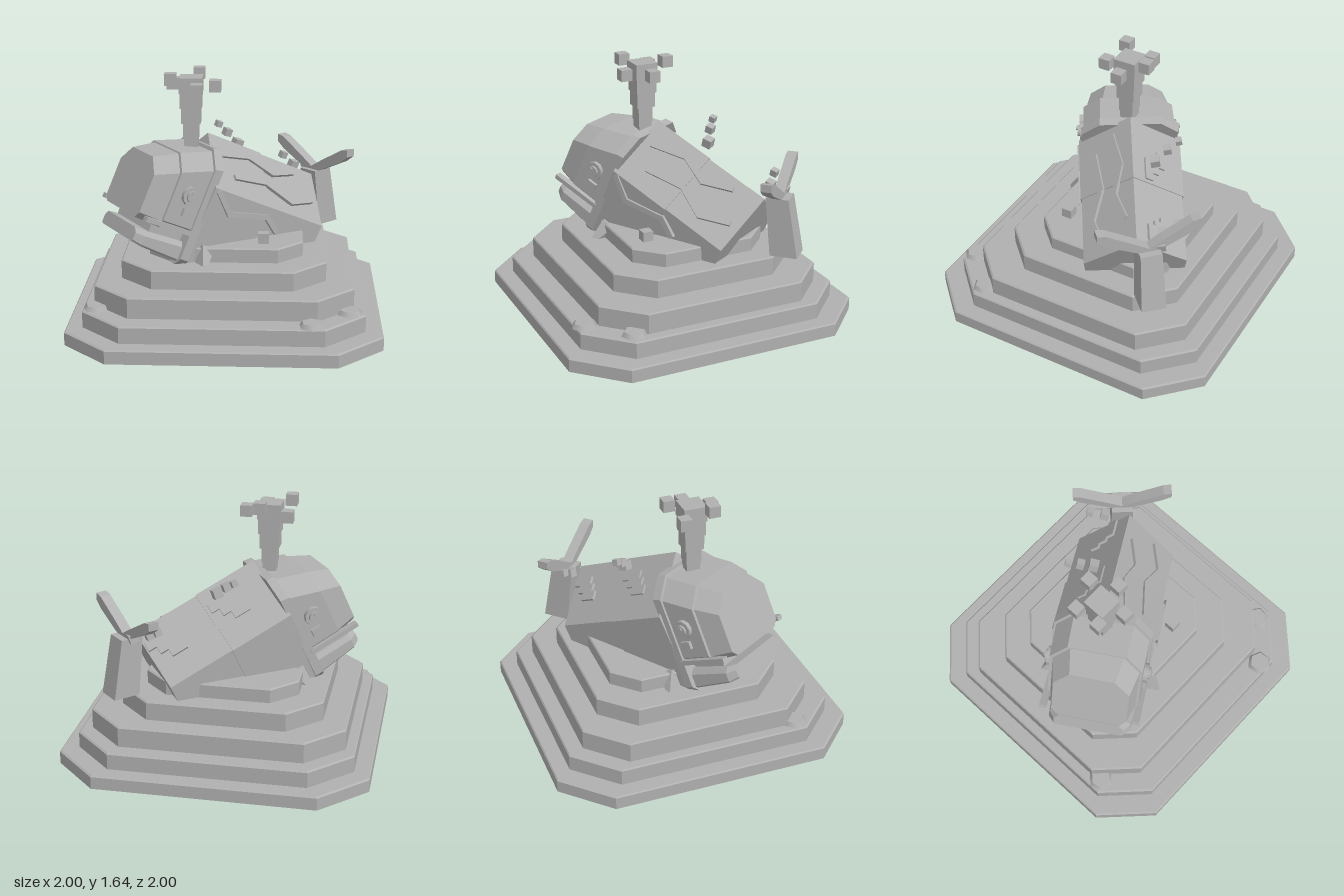
import * as THREE from 'three';
import { ConvexGeometry } from 'three/addons/geometries/ConvexGeometry.js';

const stone = new THREE.MeshStandardMaterial({ color: 0xb0b0b0 });
stone.name = 'grey stone';

const V = (x, y, z) => new THREE.Vector3(x, y, z);

function add(parent, name, geometry, x = 0, y = 0, z = 0) {
  const mesh = new THREE.Mesh(geometry, stone);
  mesh.name = name;
  mesh.position.set(x, y, z);
  parent.add(mesh);
  return mesh;
}
const box = (parent, name, w, h, d, x, y, z) => add(parent, name, new THREE.BoxGeometry(w, h, d), x, y, z);
const hull = (parent, name, points) => add(parent, name, new ConvexGeometry(points));

// Chamfered rectangle in the x/y plane at depth z
function section(cx, half, bottom, top, chamfer, z, lower = chamfer * 0.4) {
  const pts = [];
  for (const m of [-1, 1]) {
    pts.push(V(cx + m * half, top - chamfer, z), V(cx + m * (half - chamfer), top, z),
      V(cx + m * half, bottom + lower, z), V(cx + m * (half - lower), bottom, z));
  }
  return pts;
}

// One tier of the plinth: a rectangle with cut corners
function tier(parent, y0, y1, x0, x1, z0, z1, c) {
  const pts = [];
  const b = 0.008;
  for (const [y, e] of [[y0, 0], [y1 - b, 0], [y1, b]]) {
    for (const [x, sx] of [[x0 + e, 1], [x1 - e, -1]]) {
      for (const [z, sz] of [[z0 + e, 1], [z1 - e, -1]]) {
        pts.push(V(x + sx * c, y, z), V(x, y, z + sz * c));
      }
    }
  }
  hull(parent, 'plinthTier', pts);
}

// Thin bars joining points on a sloping face
function zigzag(parent, points, normal) {
  for (let i = 0; i + 1 < points.length; i++) {
    const a = points[i], b = points[i + 1];
    const along = b.clone().sub(a), len = along.length();
    along.normalize();
    const side = normal.clone().cross(along);
    const bar = add(parent, 'zigzagBar', new THREE.BoxGeometry(0.035, 0.035, len + 0.02));
    bar.quaternion.setFromRotationMatrix(new THREE.Matrix4().makeBasis(side, normal, along));
    bar.position.copy(a).add(b).multiplyScalar(0.5);
  }
}

export function createModel() {
  const model = new THREE.Group();
  model.name = 'whaleMonument';

  // Stepped plinth
  const plinth = new THREE.Group();
  plinth.name = 'plinth';
  model.add(plinth);
  tier(plinth, 0, 0.09, -1, 1, -1, 1, 0.29);
  tier(plinth, 0.09, 0.2, -0.895, 0.89, -0.895, 0.89, 0.26);
  tier(plinth, 0.2, 0.335, -0.83, 0.82, -0.79, 0.75, 0.235);
  tier(plinth, 0.335, 0.46, -0.67, 0.645, -0.65, 0.585, 0.21);
  tier(plinth, 0.46, 0.555, -0.5, 0.495, -0.52, 0.41, 0.16);

  // Loose flat stones on the steps
  for (const [x, z, turn] of [[-0.81, 0.58, 0.3], [0.79, 0.6, 0.9], [0.55, 0.83, 0.1]]) {
    const s = add(plinth, 'looseStone', new THREE.CylinderGeometry(0.065, 0.085, 0.03, 6), x, 0.213, z);
    s.rotation.y = turn;
  }
  box(plinth, 'smallBlock', 0.07, 0.07, 0.07, 0.24, 0.585, 0.27);

  // Whale frame: x across, y out of the back, z towards the snout
  const whale = new THREE.Group();
  whale.name = 'whale';
  const yaw = 32 * Math.PI / 180, pitch = 25 * Math.PI / 180;
  const cy = Math.cos(yaw), sy = Math.sin(yaw), cp = Math.cos(pitch), sp = Math.sin(pitch);
  whale.quaternion.setFromRotationMatrix(new THREE.Matrix4().makeBasis(
    V(sy, 0, cy), V(cy * sp, cp, -sy * sp), V(-cy * cp, sp, sy * cp)));
  model.add(whale);

  // Ridged body in two segments
  const cx = -0.06, ridge = 1.045, eave = 0.75, half = 0.33, tailZ = -0.277;
  function bodySegment(name, z0, z1, grow) {
    const pts = [];
    for (const z of [z0, z1]) {
      pts.push(V(cx, ridge + grow, z));
      for (const m of [-1, 1]) {
        pts.push(V(cx + m * (half + grow), eave, z), V(cx + m * (half + grow - 0.04), 0.22, z));
      }
    }
    hull(whale, name, pts);
  }
  bodySegment('rearBody', tailZ, 0.2, 0);
  bodySegment('frontBody', 0.18, 0.62, 0.008);

  // Raised zigzags on the left back slope and the left flank
  const slope = Math.hypot(half, ridge - eave);
  const ux = half / slope, uy = (ridge - eave) / slope;
  const onSlope = (m, a, t) => V(cx + m * ux * t, ridge - uy * t + 0.005, tailZ + a);
  const slopeNormal = V(uy, ux, 0);
  zigzag(whale, [[0.81, 0.155], [0.58, 0.09], [0.387, 0.157], [0.205, 0.08]].map(p => onSlope(1, ...p)), slopeNormal);
  zigzag(whale, [[0.72, 0.31], [0.464, 0.263], [0.257, 0.35], [0.075, 0.272]].map(p => onSlope(1, ...p)), slopeNormal);
  zigzag(whale, [[0.86, 0.02], [0.73, 0.13], [0.45, 0.067], [0.34, 0.137]]
    .map(([a, t]) => V(cx + half, eave - t, tailZ + a)), V(1, 0, 0));

  // Overlapping slabs on the right back slope
  for (const a of [0.13, 0.6]) {
    for (let i = 0; i < 3; i++) {
      const slab = add(whale, 'backSlab', new THREE.BoxGeometry(0.065, 0.03, 0.15 - 0.02 * i));
      slab.position.copy(onSlope(-1, a + (i - 1) * 0.045, 0.19 + (i - 1) * 0.055));
      slab.rotation.z = Math.atan2(uy, ux);
    }
  }

  // Head: collar, cheeks, snout, jaw and the recessed mouth
  hull(whale, 'collar', [...section(cx, 0.32, 0.2, 0.985, 0.12, 0.6), ...section(cx, 0.32, 0.2, 0.975, 0.12, 0.66)]);
  hull(whale, 'cheeks', [...section(cx, 0.305, 0.4, 0.96, 0.11, 0.64), ...section(cx, 0.3, 0.4, 0.875, 0.11, 0.87)]);
  hull(whale, 'snout', [...section(cx, 0.285, 0.39, 0.875, 0.11, 0.85), ...section(cx, 0.245, 0.4, 0.79, 0.1, 1.02)]);
  hull(whale, 'jaw', [...section(cx, 0.29, 0.22, 0.35, 0.03, 0.62), ...section(cx, 0.27, 0.24, 0.34, 0.03, 0.93),
    ...section(cx, 0.23, 0.25, 0.34, 0.03, 0.985)]);
  box(whale, 'mouthRecess', 0.46, 0.2, 0.28, cx, 0.36, 0.76);

  for (const m of [-1, 1]) {
    const side = cx + m * 0.305;
    // Lip bar
    box(whale, 'lipBar', 0.045, 0.03, 0.36, side, 0.42, 0.82);
    // Eye: rim, pupil and a short lid block below
    for (const [name, r, h] of [['eyeRim', 0.062, 0.05], ['eyePupil', 0.038, 0.08]]) {
      add(whale, name, new THREE.CylinderGeometry(r, r, h, 10), side, 0.645, 0.755).rotation.z = Math.PI / 2;
    }
    box(whale, 'eyeGlint', 0.1, 0.018, 0.018, side, 0.66, 0.765);
    box(whale, 'cheekBlock', 0.04, 0.05, 0.07, side, 0.535, 0.735);
    // Small flipper resting on the plinth
    hull(whale, 'flipper', [V(side - m * 0.04, 0.36, 0.44), V(side - m * 0.04, 0.36, 0.55), V(side + m * 0.03, 0.38, 0.46),
      V(side + m * 0.03, 0.38, 0.55), V(side + m * 0.1, 0.26, 0.5), V(side + m * 0.1, 0.26, 0.54),
      V(side, 0.22, 0.46), V(side, 0.22, 0.54)]);
  }

  // Tail: tapered stalk and two raised flukes
  const tail = new THREE.Group();
  tail.name = 'tail';
  tail.position.set(0.58, 0, -0.51);
  tail.rotation.y = -Math.PI / 4;
  model.add(tail);
  const stalk = [];
  for (const m of [-1, 1]) {
    for (const [y, w, z0, z1] of [[0.46, 0.08, -0.03, 0.15], [0.85, 0.07, -0.07, 0.08]]) {
      stalk.push(V(m * w, y, -z0), V(m * w, y, -z1));
    }
  }
  hull(tail, 'tailStalk', stalk);
  for (const m of [-1, 1]) {
    const fluke = [];
    for (const z of [-0.035, 0.035]) {
      fluke.push(V(0, 0.83, z), V(0, 0.87, z), V(m * 0.05, 0.84, z), V(m * 0.09, 0.925, z),
        V(m * 0.27, 0.945, z), V(m * 0.33, 1.04, z), V(m * 0.275, 1.03, z), V(m * 0.33, 0.99, z));
    }
    hull(tail, 'fluke', fluke);
  }

  // Water spout: stacked blocks widening upward, with droplets
  const spout = new THREE.Group();
  spout.name = 'spout';
  spout.position.set(-0.235, 0, 0.075);
  model.add(spout);
  [0.09, 0.1, 0.125, 0.14, 0.152].forEach((w, i) => box(spout, 'spoutBlock', w, 0.1, w, 0, 1.15 + i * 0.1, 0));
  box(spout, 'spoutBase', 0.09, 0.1, 0.09, 0, 1.06, 0);
  for (const [x, y, z] of [[-0.36, 1.54, -0.02], [-0.19, 1.6, -0.07], [-0.08, 1.54, 0.07], [-0.19, 1.54, 0.22], [-0.36, 1.6, 0.165]]) {
    box(spout, 'droplet', 0.075, 0.075, 0.075, x + 0.235, y, z - 0.075);
  }

  // Floating chips over the right side of the back
  for (const [x, y, z, s] of [[-0.08, 1.19, -0.37, 0.04], [-0.02, 1.145, -0.32, 0.05], [0.05, 1.08, -0.27, 0.06],
    [0.36, 0.92, -0.6, 0.045], [0.43, 0.87, -0.53, 0.055], [0.53, 0.86, -0.57, 0.06]]) {
    box(model, 'chip', s, s, s, x, y, z).rotation.set(0.2, 0.55, -0.4);
  }
  return model;
}
